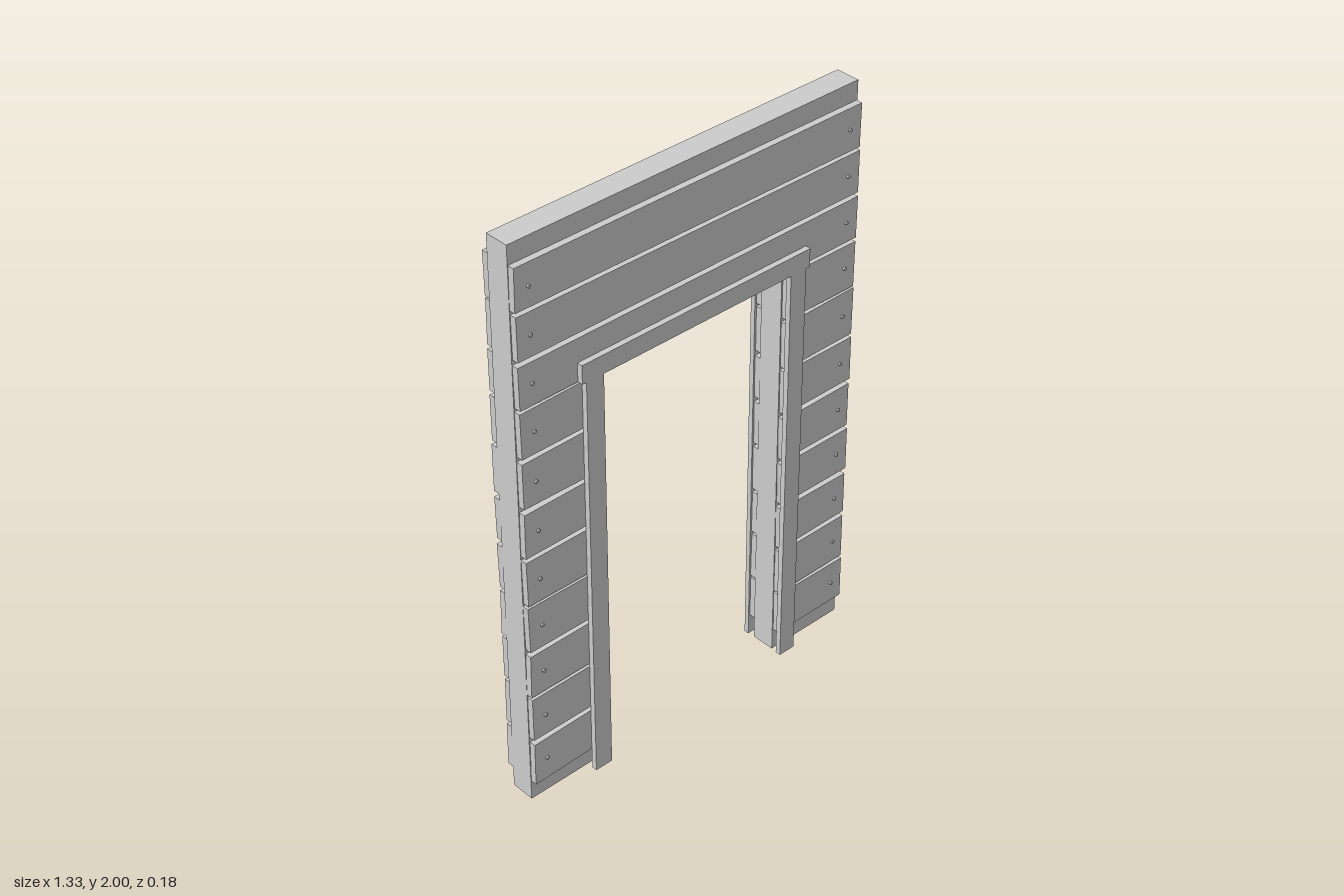
import * as THREE from 'three';

const wood = new THREE.MeshStandardMaterial({ color: 0xcccccc });
wood.name = 'plain wood';

export function createModel() {
  const model = new THREE.Group();
  model.name = 'plankedDoorway';

  const add = (name, geo) => {
    const mesh = new THREE.Mesh(geo, wood);
    mesh.name = name;
    model.add(mesh);
    return mesh;
  };
  // Box given by its limits
  const box = (name, x0, x1, y0, y1, z0, z1) =>
    add(name, new THREE.BoxGeometry(x1 - x0, y1 - y0, z1 - z0))
      .position.set((x0 + x1) / 2, (y0 + y1) / 2, (z0 + z1) / 2);
  // Four-cornered board cut from a sheet between two depths
  const board = (name, corners, z0, z1) => {
    const shape = new THREE.Shape(corners.map(([x, y]) => new THREE.Vector2(x, y)));
    const geo = new THREE.ExtrudeGeometry(shape, { depth: z1 - z0, bevelEnabled: false });
    add(name, geo).position.z = z0;
  };
  const nail = (x, y, z) => {
    const mesh = add('nail', new THREE.CylinderGeometry(0.006, 0.006, 0.014, 6));
    mesh.rotation.x = Math.PI / 2;
    mesh.position.set(x, y, z);
  };
  let seed = 7;
  const jitter = (amount) => {
    seed = (seed * 16807) % 2147483647;
    return (seed / 2147483647 - 0.5) * 2 * amount;
  };

  // Frame
  const back = -0.038, front = 0.046;
  box('topBeam', -0.664, 0.664, 1.9, 2, back, front);
  box('doorHeader', -0.37, 0.37, 1.475, 1.57, back, front);
  for (const s of [-1, 1]) {
    const span = (a, b) => (s > 0 ? [a, b] : [-b, -a]);
    box('outerPost', ...span(0.562, 0.664), 0, 1.9, back, front);
    box('doorPost', ...span(0.37, 0.435), 0, 1.9, back, front);
    box('sill', ...span(0.435, 0.562), 0, 0.1, back, front);
  }

  // Slightly uneven planks on both faces
  const wideRows = [[1.79, 1.934], [1.632, 1.778], [1.475, 1.616]];
  const sideRows = [[1.304, 1.463], [1.128, 1.292], [0.955, 1.113], [0.777, 0.94],
    [0.603, 0.765], [0.43, 0.586], [0.25, 0.413], [0.077, 0.237]];
  const plank = (name, x0, x1, y0, y1, z0, z1) => {
    const j = () => jitter(0.004);
    board(name, [[x0 + j() / 2, y0 + j()], [x1 + j() / 2, y0 + j()],
      [x1 + j() / 2, y1 + j()], [x0 + j() / 2, y1 + j()]], z0, z1);
  };
  for (const [z0, z1, nailZ] of [[front, 0.068, 0.067], [-0.062, back, -0.061]]) {
    for (const [y0, y1] of wideRows) {
      plank('widePlank', -0.661, 0.66, y0, y1, z0, z1);
      for (const s of [-1, 1]) nail(s * 0.614, (y0 + y1) / 2, nailZ);
    }
    for (const [y0, y1] of sideRows) {
      plank('sidePlank', -0.662, -0.373, y0, y1, z0, z1);
      plank('sidePlank', 0.373, 0.66, y0, y1, z0, z1);
      for (const s of [-1, 1]) nail(s * 0.614, (y0 + y1) / 2, nailZ);
    }
  }

  // Door trim on both faces
  for (const [z0, z1] of [[0.068, 0.087], [-0.079, -0.062]]) {
    box('lintelTrim', -0.45, 0.445, 1.472, 1.536, z0, z1);
    box('sideTrim', -0.435, -0.37, 0, 1.472, z0, z1);
    box('sideTrim', 0.367, 0.43, 0, 1.472, z0, z1);
  }

  // Leaning braces at the back
  const brace = (top, bottom) => {
    const w = 0.078;
    board('brace', [[bottom, 0.13], [bottom + w, 0.122], [top + w, 1.392], [top, 1.4]],
      -0.083, -0.062);
    for (const y of [0.2, 1.335]) {
      const t = (y - 0.13) / 1.27;
      nail(bottom + (top - bottom) * t + w / 2, y, -0.082);
    }
  };
  brace(0.548, 0.438);
  brace(-0.488, -0.629);

  return model;
}
